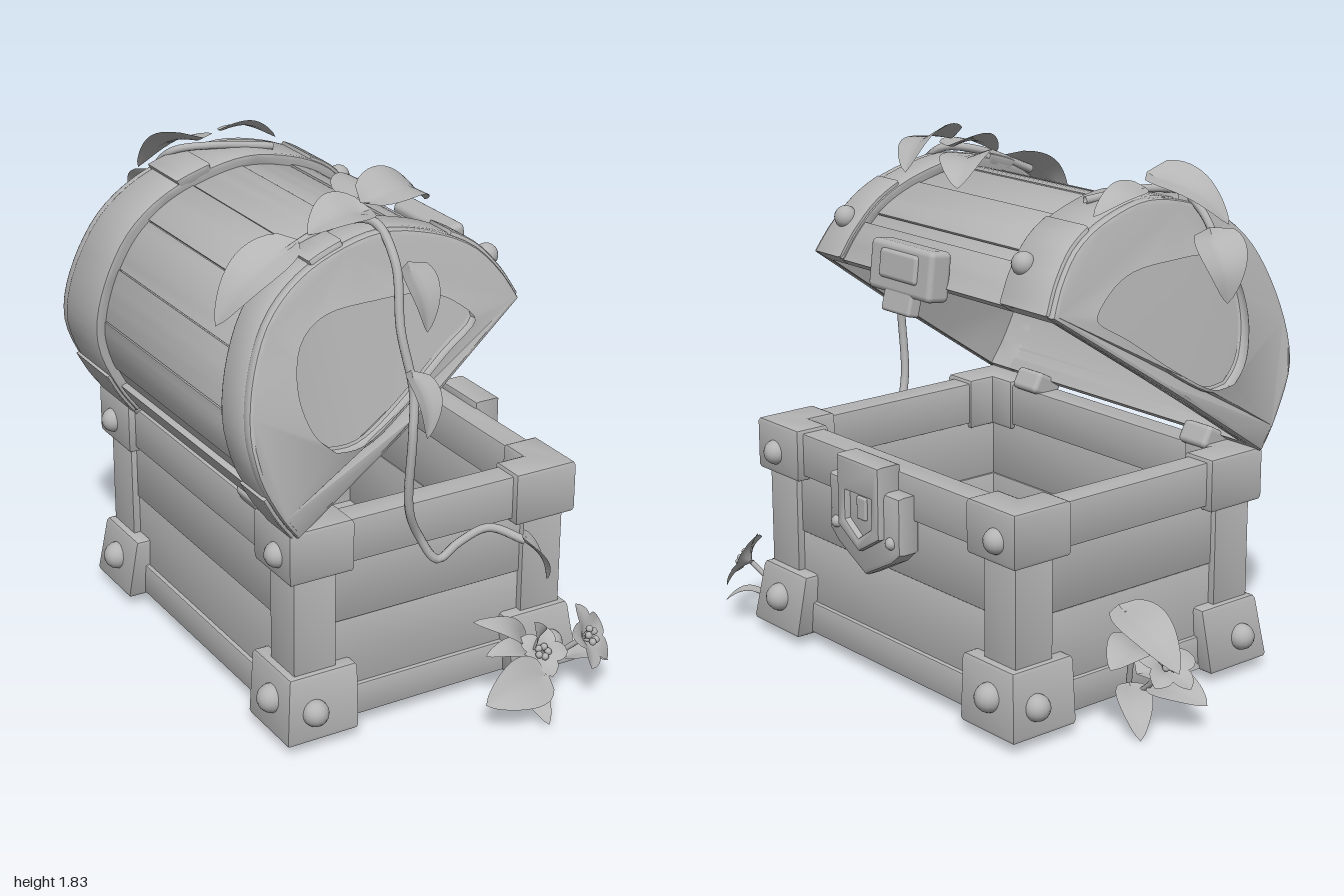
import * as THREE from 'three';
import { RoundedBoxGeometry } from 'three/addons/geometries/RoundedBoxGeometry.js';
import { toCreasedNormals } from 'three/addons/utils/BufferGeometryUtils.js';

const V2 = (p) => new THREE.Vector2(p[0], p[1]);
const V3 = (p) => new THREE.Vector3(p[0], p[1], p[2]);

export function createModel() {
  const root = new THREE.Group();
  const grey = new THREE.MeshStandardMaterial({ color: 0xb4b4b4, side: THREE.DoubleSide });
  grey.name = 'clay grey';

  const add = (name, geo, parent = root) => {
    const m = new THREE.Mesh(geo, grey);
    m.name = name;
    parent.add(m);
    return m;
  };
  const group = (name) => {
    const g = new THREE.Group();
    g.name = name;
    root.add(g);
    return g;
  };
  const box = (name, parent, size, pos, rotZ = 0) => {
    const m = add(name, new RoundedBoxGeometry(...size, 2, Math.min(...size) * 0.22), parent);
    m.position.set(...pos);
    m.rotation.z = rotZ;
    return m;
  };
  const rivet = (parent, pos, r = 0.044) => add('rivet', new THREE.SphereGeometry(r, 16, 10), parent).position.set(...pos);
  // Extrudes an outline with softened edges; the bevel stays inside the depth
  const slab = (pts, hole, depth, b = 0.012) => {
    const s = new THREE.Shape(pts.map(V2));
    if (hole) s.holes.push(new THREE.Path(hole.map(V2)));
    const g = new THREE.ExtrudeGeometry(s, { depth: depth - 2 * b, bevelEnabled: b > 0, bevelThickness: b, bevelSize: b, bevelOffset: -b, bevelSegments: 2 });
    return toCreasedNormals(g.translate(0, 0, b), 0.6);
  };

  // ---- Base ----
  const base = group('base');
  const CX = 0.035, HX = 0.495, HZ = 0.645, WALL = 0.055;
  const rect = (hx, hz) => [[CX - hx, -hz], [CX + hx, -hz], [CX + hx, hz], [CX - hx, hz]];
  const ring = (name, y0, y1, o, t = o + WALL) => {
    const g = slab(rect(HX + o, HZ + o), rect(HX + o - t, HZ + o - t), y1 - y0, 0.006);
    add(name, g.rotateX(-Math.PI / 2).translate(0, y0, 0), base);
  };
  // L-shaped fitting wrapped round one corner, leaning in by the fraction lean at its top
  const corner = (name, sx, sz, y0, y1, o, len, lean = 0, t = o + WALL) => {
    const X = CX + sx * (HX + o), Z = sz * (HZ + o);
    const pts = [[0, 0], [len, 0], [len, t], [t, t], [t, len], [0, len]].map(([a, b]) => [X - sx * a, -(Z - sz * b)]);
    const g = slab(pts, null, y1 - y0, 0.015).rotateX(-Math.PI / 2);
    const p = g.attributes.position;
    for (let i = 0; i < p.count; i++) {
      const f = 1 - lean * p.getY(i) / (y1 - y0);
      p.setXYZ(i, CX + (p.getX(i) - CX) * f, p.getY(i) + y0, p.getZ(i) * f);
    }
    add(name, toCreasedNormals(g, 0.6), base);
  };
  ring('lowerBoards', 0.08, 0.418, 0);
  ring('upperBoards', 0.418, 0.66, 0.005);
  ring('bottomRail', 0.055, 0.17, 0.016);
  ring('topRail', 0.64, 0.795, 0.03, 0.095);
  add('floor', new THREE.BoxGeometry(2 * HX - 0.06, 0.04, 2 * HZ - 0.06), base).position.set(CX, 0.12, 0);
  for (const sx of [-1, 1]) for (const sz of [-1, 1]) {
    corner('cornerPost', sx, sz, 0.1, 0.7, 0.026, 0.155, 0, 0.07);
    corner('topBracket', sx, sz, 0.62, 0.81, 0.055, 0.235, 0, 0.13);
    corner('bottomBracket', sx, sz, 0.045, 0.275, 0.08, 0.265, 0.05, 0.095);
    box('foot', base, [0.24, 0.04, 0.24], [CX + sx * (HX - 0.06), 0.065, sz * (HZ - 0.06)]);
    rivet(base, [CX + sx * (HX + 0.065), 0.165, sz * 0.585], 0.05);
    rivet(base, [CX + sx * (HX + 0.05), 0.7, sz * 0.605]);
    rivet(base, [CX + sx * 0.465, 0.145, sz * 0.712], 0.046);
  }

  // Lock plate on the +x face
  const lock = group('lock');
  const LZ = 0.035;
  const facing = (g, x) => g.rotateY(Math.PI / 2).translate(x, 0, LZ);
  add('lockPlate', facing(slab([[-0.195, 0.73], [-0.195, 0.53], [-0.15, 0.49], [0, 0.41], [0.15, 0.49], [0.195, 0.53], [0.195, 0.73]], null, 0.09, 0.02), 0.535), lock);
  add('lockFrame', facing(slab([[-0.115, 0.82], [-0.115, 0.57], [0, 0.5], [0.115, 0.57], [0.115, 0.82]],
    [[-0.07, 0.7], [-0.07, 0.6], [0, 0.55], [0.07, 0.6], [0.07, 0.7]], 0.1, 0.014), 0.55), lock);
  box('keyPlate', lock, [0.03, 0.08, 0.05], [0.62, 0.65, LZ]);
  for (const s of [-1, 1]) rivet(lock, [0.622, 0.565, LZ + s * 0.15], 0.022);

  // ---- Open lid ----
  const lid = group('lid');
  const arc = new THREE.SplineCurve([[-0.5, 0.8], [-0.57, 0.9], [-0.64, 1.05], [-0.655, 1.2], [-0.61, 1.38], [-0.52, 1.53], [-0.36, 1.64],
    [-0.12, 1.7], [0.08, 1.67], [0.24, 1.6], [0.34, 1.5], [0.4, 1.4]].map(V2));
  const at = (t, s) => {
    const p = arc.getPointAt(t);
    return [-0.05 + (p.x + 0.05) * s, 1.1 + (p.y - 1.1) * s];
  };
  const run = (t0, t1, s, n = 40) => Array.from({ length: n + 1 }, (_, i) => at(t0 + (t1 - t0) * i / n, s));
  const strip = (t0, t1, s0, s1, n) => [...run(t0, t1, s0, n), ...run(t0, t1, s1, n).reverse()];
  // Whole end outline, with points along its straight edge too
  const endOutline = (s) => {
    const [a, b] = [at(1, s), at(0, s)];
    const edge = Array.from({ length: 11 }, (_, i) => (i + 1) / 12).map((k) => [a[0] + (b[0] - a[0]) * k, a[1] + (b[1] - a[1]) * k]);
    return [...run(0, 1, s), ...edge];
  };
  // The lid ends curve inwards towards the top, and the lid is turned slightly
  const taperZ = (x, y, z) => z * (1 - 0.05 * Math.max(0, y - 0.85) - 0.3 * Math.max(0, y - 1.08)) - 0.015 - 0.04 * x;
  const lidPart = (name, pts, hole, z0, z1, b) => {
    const g = slab(pts, hole, z1 - z0, b).translate(0, 0, z0);
    const p = g.attributes.position;
    for (let i = 0; i < p.count; i++) p.setZ(i, taperZ(p.getX(i), p.getY(i), p.getZ(i)));
    add(name, toCreasedNormals(g, 0.6), lid);
  };
  lidPart('lidShell', strip(0, 1, 0.915, 0.895), null, -0.67, 0.67, 0);
  const planks = 9;
  for (let i = 0; i < planks; i++) {
    const lift = 0.94 + 0.005 * ((i * 5) % 3 - 1);
    lidPart('lidPlank', strip((i + 0.01) / planks, (i + 0.99) / planks, lift, 0.905, 6), null, -0.53, 0.56, 0.006);
  }
  lidPart('lidLipRail', strip(0.92, 1, 0.985, 0.895, 5), null, -0.53, 0.56, 0.01);
  lidPart('lidBackRail', strip(0, 0.07, 0.975, 0.895, 5), null, -0.53, 0.56, 0.01);
  const recess = new THREE.SplineCurve([[-0.36, 1.05], [-0.44, 1.13], [-0.48, 1.27], [-0.45, 1.42], [-0.34, 1.5], [-0.15, 1.51], [0.03, 1.5], [0.15, 1.45],
    [0.23, 1.36], [0.1, 1.27], [-0.1, 1.13], [-0.25, 1.05], [-0.36, 1.05]].map(V2)).getPoints(48).slice(0, -1).map((p) => [p.x, p.y]);
  for (const s of [-1, 1]) {
    const span = (a, b) => (s > 0 ? [a, b] : [-b, -a]);
    const inner = s > 0 ? 0.525 : 0.425;
    lidPart('lidStrap', strip(0, 1, 1, 0.895), null, ...span(inner, 0.69), 0.014);
    lidPart('lidEndFrame', endOutline(0.995), recess, ...span(0.672, 0.725), 0.014);
    lidPart('lidEndPanel', endOutline(0.93), null, ...span(0.655, 0.675), 0);
    lidPart('strapCap', strip(0.82, 1, 1.02, 0.905, 10), null, ...span(inner + 0.01, 0.7), 0.012);
    lidPart('strapCrest', strip(0.53, 0.6, 1.025, 0.95, 5), null, ...span(inner, 0.71), 0.01);
    lidPart('strapHeel', strip(0, 0.1, 1.02, 0.905, 6), null, ...span(inner + 0.01, 0.7), 0.012);
    const [x, y] = at(0.925, 1.02);
    rivet(lid, [x, y, s > 0 ? 0.5 : -0.445], 0.04);
    box('hinge', lid, [0.12, 0.08, 0.13], [-0.44, 0.81, s > 0 ? 0.38 : -0.5], 0.5);
  }
  box('claspBlock', lid, [0.09, 0.17, 0.33], [0.415, 1.435, LZ], 0.12);
  box('claspRidge', lid, [0.07, 0.1, 0.2], [0.435, 1.45, LZ], 0.12);
  box('claspTongue', lid, [0.05, 0.12, 0.15], [0.445, 1.35, LZ], 0.25);

  // ---- Plants ----
  // Leaf: a plane narrowed to a leaf outline, creased along its middle and arched
  const leaf = (parent, from, to, normal, width, arch = 0.04, fat = 0.65, name = 'leaf') => {
    const a = V3(from), dir = V3(to).sub(a), len = dir.length();
    const g = new THREE.PlaneGeometry(2, 1, 6, 14), p = g.attributes.position;
    for (let i = 0; i < p.count; i++) {
      const u = p.getX(i), v = p.getY(i) + 0.5;
      const w = Math.pow(Math.max(0, Math.sin(Math.PI * Math.pow(v, fat))), 0.7) * width / 2;
      p.setXYZ(i, u * w, v * len - Math.abs(u) * (1 - v) * (1 - v) * width * 0.15, Math.sin(Math.PI * v) * arch + Math.abs(u) * w * 0.2);
    }
    g.computeVertexNormals();
    const y = dir.normalize(), x = new THREE.Vector3().crossVectors(y, V3(normal)).normalize();
    const z = new THREE.Vector3().crossVectors(x, y);
    add(name, g.applyMatrix4(new THREE.Matrix4().makeBasis(x, y, z)).translate(a.x, a.y, a.z), parent);
  };
  const stem = (parent, pts, r, name = 'stem') =>
    add(name, new THREE.TubeGeometry(new THREE.CatmullRomCurve3(pts.map(V3)), pts.length * 8, r, 8), parent);
  const flower = (parent, c, n, r) => {
    const N = V3(n).normalize(), C = V3(c);
    const A = new THREE.Vector3(0, 1, 0.2).cross(N).normalize(), B = new THREE.Vector3().crossVectors(N, A);
    for (let i = 0; i < 5; i++) {
      const t = i * Math.PI * 0.4;
      const out = (k, h) => C.clone().addScaledVector(A, r * k * Math.cos(t)).addScaledVector(B, r * k * Math.sin(t)).addScaledVector(N, r * h).toArray();
      leaf(parent, c, out(1, 0.25), n, r * 0.75, 0.015, 1.4, 'petal');
      stem(parent, [c, out(0.2, 0.35)], 0.005, 'stamen');
      add('stamenTip', new THREE.SphereGeometry(0.013, 8, 6), parent).position.set(...out(0.2, 0.35));
    }
  };

  // Vine hanging down the +z end
  const vine = group('hangingVine');
  stem(vine, [[-0.45, 1.61, 0.43], [-0.2, 1.71, 0.44], [-0.1, 1.72, 0.5], [-0.09, 1.62, 0.62], [-0.11, 1.42, 0.69], [-0.09, 1.22, 0.74], [-0.11, 1.08, 0.77],
    [-0.1, 0.82, 0.74], [-0.04, 0.69, 0.71], [0.02, 0.6, 0.73], [0.1, 0.64, 0.73], [0.22, 0.665, 0.73], [0.31, 0.63, 0.81]], 0.015, 'vineStem');
  leaf(vine, [-0.06, 1.6, 0.66], [-0.05, 1.42, 0.75], [0.5, 0.3, 1], 0.18, 0.02, 0.5);
  leaf(vine, [-0.1, 1.28, 0.75], [-0.12, 1.12, 0.87], [0.5, 0.6, 0.9], 0.15, 0.03, 0.5);
  leaf(vine, [0.29, 0.64, 0.84], [0.36, 0.5, 0.87], [0.85, 0.4, 0.3], 0.16, 0.02, 0.5);
  leaf(vine, [-0.35, 1.66, 0.43], [-0.62, 1.44, 0.42], [-0.6, 0.8, 0.35], 0.18, 0.05);
  leaf(vine, [-0.1, 1.73, 0.44], [-0.3, 1.69, 0.44], [0, 1, 0.2], 0.2, 0.03);
  leaf(vine, [-0.09, 1.76, 0.44], [0.2, 1.69, 0.33], [0.2, 1, 0.3], 0.19, 0.06);
  leaf(vine, [-0.06, 1.72, 0.28], [0.15, 1.66, 0.11], [0.2, 1, 0], 0.18, 0.04);

  // Leaves on the far end of the lid
  const far = group('farVine');
  stem(far, [[0.05, 1.69, -0.42], [-0.15, 1.71, -0.47], [-0.28, 1.69, -0.54], [-0.3, 1.58, -0.65], [-0.28, 1.45, -0.69]], 0.014, 'vineStem');
  leaf(far, [-0.22, 1.74, -0.46], [-0.34, 1.6, -0.69], [0, 0.8, -0.6], 0.2, 0.04, 0.5);
  leaf(far, [-0.28, 1.57, -0.67], [-0.27, 1.36, -0.76], [0.3, 0.4, -1], 0.18, 0.04, 0.5);
  leaf(far, [-0.08, 1.73, -0.55], [0.14, 1.67, -0.56], [0, 1, -0.4], 0.1, 0.03);

  // Flowers at the foot of the +z end
  const near = group('nearFlowers');
  flower(near, [0.54, 0.21, 0.84], [0.5, 0.5, 0.7], 0.12);
  flower(near, [0.4, 0.17, 0.8], [-0.2, 0.7, 0.7], 0.09);
  stem(near, [[0.42, 0.06, 0.7], [0.48, 0.12, 0.76], [0.54, 0.21, 0.84]], 0.01);
  stem(near, [[0.38, 0.06, 0.7], [0.37, 0.12, 0.74], [0.4, 0.17, 0.8]], 0.01);
  leaf(near, [0.36, 0.13, 0.87], [0.1, 0.12, 0.92], [0, 0.7, 0.7], 0.18, 0.02);
  leaf(near, [0.33, 0.08, 0.8], [0.31, 0.02, 0.99], [-0.2, 0.9, 0.3], 0.1, 0.03);
  leaf(near, [0.38, 0.2, 0.73], [0.16, 0.33, 0.74], [0, 0.7, 0.7], 0.08, 0.04);
  leaf(near, [0.39, 0.2, 0.75], [0.34, 0.33, 0.84], [0, 0.5, 0.8], 0.08, 0.03);
  leaf(near, [0.38, 0.16, 0.76], [0.19, 0.21, 0.78], [0, 0.9, 0.4], 0.09, 0.03);
  leaf(near, [0.54, 0.1, 0.76], [0.66, 0.09, 0.84], [0.2, 1, 0.3], 0.1, 0.03);

  // Flowers at the foot of the -z end
  const back = group('farFlowers');
  flower(back, [0.1, 0.22, -0.88], [0.1, 0.8, -0.6], 0.11);
  stem(back, [[0.08, 0.06, -0.69], [0.09, 0.12, -0.78], [0.1, 0.22, -0.88]], 0.01);
  leaf(back, [0.09, 0.17, -0.77], [-0.13, 0.15, -0.81], [0, 1, -0.3], 0.18, 0.03);
  leaf(back, [0.12, 0.28, -0.8], [0.32, 0.27, -0.86], [0, 1, -0.2], 0.17, 0.03);
  leaf(back, [0.12, 0.38, -0.7], [0.14, 0.25, -0.99], [0.3, 0.9, -0.4], 0.17, 0.04);
  leaf(back, [0.06, 0.13, -0.8], [0.02, 0.11, -1.0], [0.3, 1, -0.2], 0.15, 0.02);
  leaf(back, [0.1, 0.11, -0.72], [0.22, 0.01, -0.9], [0.2, 1, -0.3], 0.12, 0.03);
  stem(back, [[0.08, 0.08, -0.69], [0.11, 0.25, -0.73], [0.12, 0.38, -0.71]], 0.01);

  return root;
}
